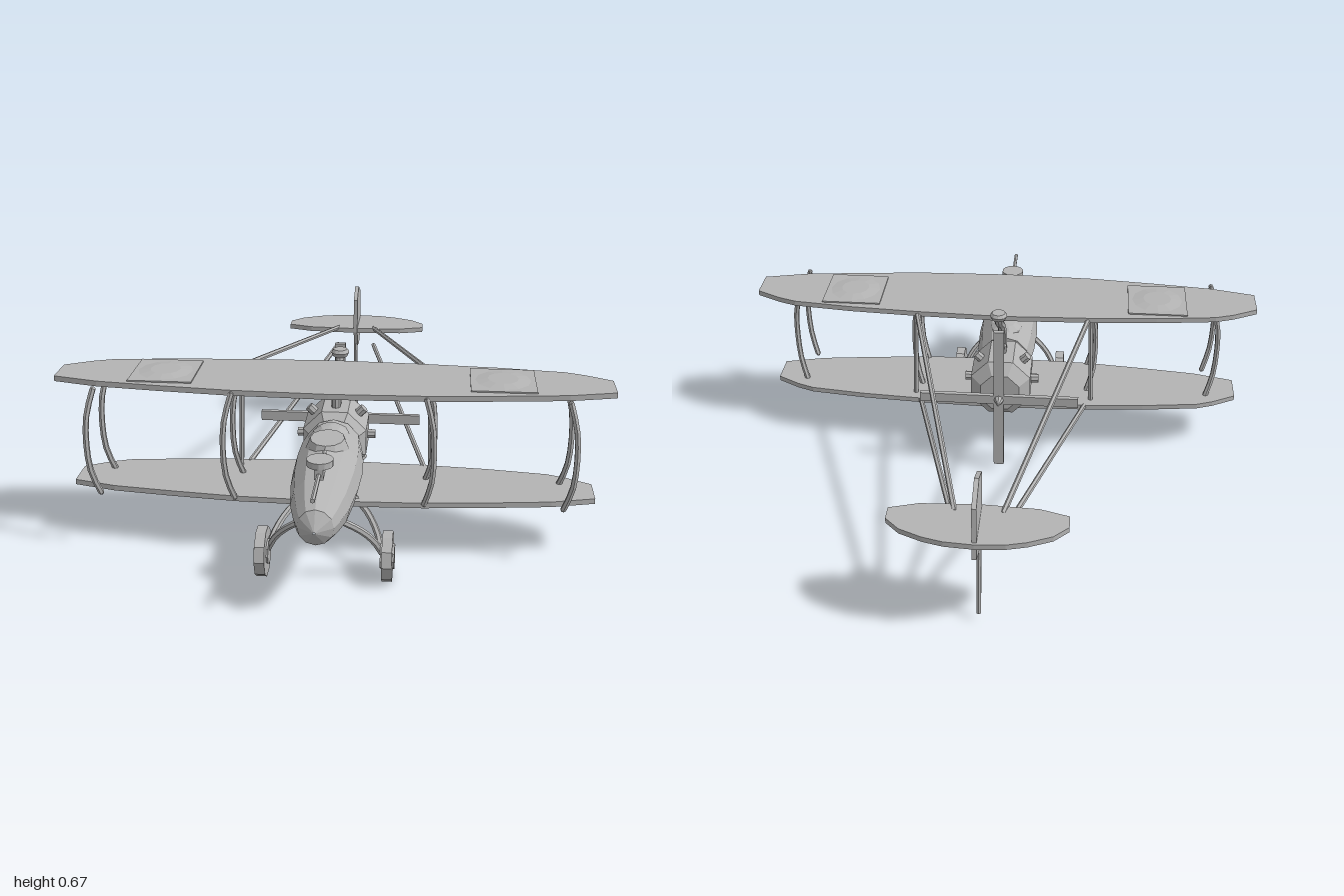
import * as THREE from 'three';

const grey = new THREE.MeshStandardMaterial({ color: 0xb4b4b4, flatShading: true });
grey.name = 'plain grey';

export function createModel() {
  const model = new THREE.Group();
  model.name = 'pusherBiplane';

  const add = (name, geometry, x = 0, y = 0, z = 0) => {
    const mesh = new THREE.Mesh(geometry, grey);
    mesh.name = name;
    mesh.position.set(x, y, z);
    model.add(mesh);
    return mesh;
  };
  const V = (p) => new THREE.Vector3(...p);

  // Straight rod between two points
  const rod = (name, a, b, r, sides = 6) => {
    const d = V(b).sub(V(a));
    const m = add(name, new THREE.CylinderGeometry(r, r, d.length(), sides));
    m.position.copy(V(a)).addScaledVector(d, 0.5);
    m.quaternion.setFromUnitVectors(new THREE.Vector3(0, 1, 0), d.normalize());
    return m;
  };
  // Bent rod through several points, with closed ends
  const bentRod = (name, points, r, segments = 8, sides = 6) => {
    add(name, new THREE.TubeGeometry(new THREE.CatmullRomCurve3(points.map(V)), segments, r, sides));
    [0, points.length - 1].forEach((i) => add(name + 'End', new THREE.IcosahedronGeometry(r, 0), ...points[i]));
  };
  // Flat horizontal plate, mirrored from a half outline of [x, z] points
  const plate = (name, half, top, thickness) => {
    const other = half.filter((p) => p[0] > 0).reverse().map(([x, z]) => [-x, z]);
    const shape = new THREE.Shape([...half, ...other].map((p) => new THREE.Vector2(...p)));
    const g = new THREE.ExtrudeGeometry(shape, { depth: thickness, bevelEnabled: false });
    add(name, g.rotateX(Math.PI / 2), 0, top, 0);
  };
  // Body turned around the z axis from [radius, z] points
  const turned = (name, profile, sides, y, turn = 0) => {
    const g = new THREE.LatheGeometry(profile.map((p) => new THREE.Vector2(...p)), sides, turn);
    return add(name, g.rotateX(Math.PI / 2), 0, y, 0);
  };

  // Wings
  const wing = [[0, 0.148], [0.33, 0.16], [0.6, 0.178], [0.83, 0.205], [0.9, 0.23], [0.995, 0.28],
    [0.995, 0.4], [0.83, 0.44], [0.6, 0.466], [0.35, 0.489], [0, 0.5]];
  plate('upperWing', wing, 0.635, 0.02);
  plate('lowerWing', wing.map(([x, z]) => [x * 0.955, z]), 0.228, 0.02);

  // Fuselage and nose
  turned('fuselage', [[0, 0.29], [0.105, 0.29], [0.118, 0.4], [0.122, 0.52], [0.117, 0.63],
    [0.1, 0.78], [0.077, 0.88], [0.06, 0.93], [0.004, 0.97]], 12, 0.345).scale.y = 1.06;

  // Cockpit coaming
  const coaming = add('cockpitCoaming', new THREE.CylinderGeometry(0.06, 0.08, 0.05, 12), 0, 0.457, 0.52);
  coaming.scale.z = 1.25;
  add('headrest', new THREE.SphereGeometry(0.06, 10, 6), 0, 0.43, 0.39).scale.set(1.2, 0.8, 1.3);

  // Engine with radial cylinder stubs
  turned('engine', [[0, 0.04], [0.082, 0.04], [0.127, 0.08], [0.127, 0.245], [0.09, 0.29], [0, 0.29]],
    8, 0.35, Math.PI / 8);
  for (let i = 0; i < 8; i++) {
    const a = (i * Math.PI) / 4;
    const at = (r) => [Math.sin(a) * r, 0.35 + Math.cos(a) * r, 0.16];
    rod('engineCylinder', at(0.09), at(0.147), 0.018, 8);
  }

  // Intake pipe with cap
  bentRod('intakePipe', [[0, 0.45, 0.19], [0, 0.53, 0.19], [0.004, 0.585, 0.17], [0.01, 0.615, 0.135],
    [0.01, 0.65, 0.115]], 0.017, 10, 8);
  add('intakeCap', new THREE.CylinderGeometry(0.026, 0.034, 0.012, 10), 0.01, 0.664, 0.115);
  add('intakeCapRim', new THREE.CylinderGeometry(0.034, 0.026, 0.016, 10), 0.01, 0.65, 0.115);

  // Propeller at the back of the engine
  add('propellerBladesUpright', new THREE.BoxGeometry(0.04, 0.615, 0.018), 0, 0.345, 0);
  add('propellerBladesLevel', new THREE.BoxGeometry(0.62, 0.038, 0.018), 0, 0.348, 0);
  rod('propellerShaft', [0, 0.35, 0.05], [0, 0.35, 0], 0.012, 8);
  add('spinner', new THREE.ConeGeometry(0.025, 0.06, 8).rotateX(-Math.PI / 2), 0, 0.348, -0.025);

  // Gun on the nose
  rod('gunBarrel', [0, 0.473, 1], [0, 0.473, 0.62], 0.008);
  add('gunBody', new THREE.BoxGeometry(0.03, 0.035, 0.13), 0, 0.475, 0.75);
  add('gunDrum', new THREE.CylinderGeometry(0.045, 0.045, 0.022, 14), 0, 0.503, 0.77);

  // Tail surfaces
  plate('tailplane', [[0, -1], [0.1, -0.993], [0.17, -0.975], [0.25, -0.94], [0.3, -0.89],
    [0.3, -0.835], [0.2, -0.805], [0, -0.795]].reverse(), 0.457, 0.02);
  const fin = new THREE.Shape([[0.79, 0.59], [0.88, 0.63], [0.98, 0.585], [0.995, 0.39], [0.91, 0.35],
    [0.82, 0.37], [0.79, 0.44]].map((p) => new THREE.Vector2(...p)));
  add('rudder', new THREE.ExtrudeGeometry(fin, { depth: 0.016, bevelEnabled: false })
    .translate(0, 0, -0.008).rotateY(Math.PI / 2));
  rod('tailSkid', [0, 0.38, -0.82], [0, 0.037, -0.867], 0.009);

  // Parts mirrored on both sides
  for (const s of [1, -1]) {
    // Tail booms
    rod('upperBoom', [s * 0.335, 0.62, 0.17], [s * 0.08, 0.45, -0.83], 0.01);
    rod('lowerBoom', [s * 0.335, 0.22, 0.17], [s * 0.08, 0.37, -0.83], 0.01);

    // Bowed wing struts in two rows, plus a straight rear strut
    for (const x of [0.83, 0.34]) {
      for (const z of [0.485, 0.28]) {
        bentRod('wingStrut', [[s * x, 0.622, z], [s * (x + 0.024), 0.53, z + 0.02], [s * (x + 0.031), 0.42, z + 0.027],
          [s * (x + 0.024), 0.31, z + 0.02], [s * x, 0.222, z]], 0.011);
      }
    }
    rod('rearStrut', [s * 0.345, 0.62, 0.21], [s * 0.36, 0.22, 0.21], 0.01);

    // Raised panels on the upper wing
    add('wingPanel', new THREE.BoxGeometry(0.23, 0.006, 0.23), s * 0.605, 0.637, 0.32);
    add('wingPanelDome', new THREE.CylinderGeometry(0.055, 0.105, 0.008, 12), s * 0.605, 0.643, 0.32);

    // Wheels
    add('wheel', new THREE.CylinderGeometry(0.09, 0.09, 0.036, 10).rotateZ(Math.PI / 2), s * 0.22, 0.09, 0.635);
    add('wheelHub', new THREE.CylinderGeometry(0.045, 0.045, 0.05, 10).rotateZ(Math.PI / 2), s * 0.22, 0.09, 0.635);

    // Undercarriage legs
    bentRod('rearLeg', [[s * 0.2, 0.1, 0.63], [s * 0.18, 0.145, 0.57], [s * 0.14, 0.19, 0.5],
      [s * 0.07, 0.24, 0.44]], 0.012);
    bentRod('frontLeg', [[s * 0.2, 0.1, 0.63], [s * 0.17, 0.16, 0.655], [s * 0.13, 0.205, 0.675],
      [s * 0.06, 0.255, 0.7]], 0.012);
  }
  return model;
}
